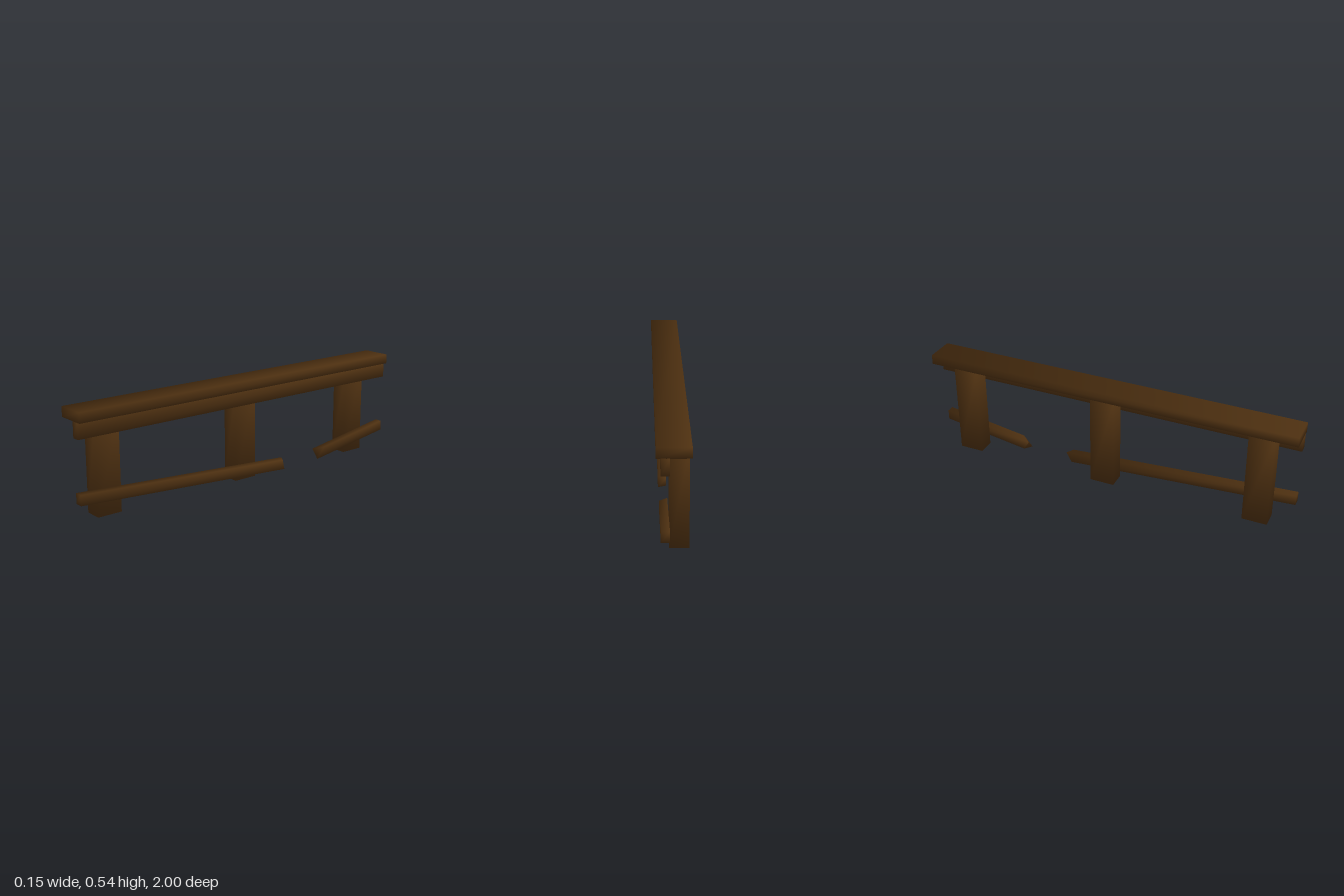
import * as THREE from 'three';

const wood = new THREE.MeshStandardMaterial({ color: 0x4f3111, side: THREE.DoubleSide });
wood.name = 'darkWood';

// Faces in box order: +x, -x, +y, -y, +z, -z
const OPEN_ENDS = [0, 1, 4, 5];
const OPEN_BOTTOM = [0, 1, 2, 4, 5];
const OPEN_TOP = [0, 1, 3, 4, 5];
const CLOSED = [0, 1, 2, 3, 4, 5];

// Six-sided timber with softly blended corner normals; place(sx, sy, sz) positions each corner
function timber(name, faces, place) {
  const geo = new THREE.BoxGeometry(2, 2, 2);
  const pos = geo.attributes.position;
  const normal = geo.attributes.normal;
  const k = 1 / Math.sqrt(3);
  for (let i = 0; i < pos.count; i++) {
    const [x, y, z] = [pos.getX(i), pos.getY(i), pos.getZ(i)];
    normal.setXYZ(i, x * k, y * k, z * k);
    pos.setXYZ(i, ...place(x, y, z));
  }
  const all = Array.from(geo.index.array);
  geo.setIndex(faces.flatMap((f) => all.slice(f * 6, f * 6 + 6)));
  geo.clearGroups();
  const mesh = new THREE.Mesh(geo, wood);
  mesh.name = name;
  return mesh;
}

// Straight timber between two bounds
const block = (name, faces, lo, hi) =>
  timber(name, faces, (...s) => s.map((v, i) => (v > 0 ? hi[i] : lo[i])));

export function createModel() {
  const group = new THREE.Group();
  group.name = 'brokenFence';

  // Flat cap and the rail fixed under it
  group.add(block('capRail', OPEN_BOTTOM, [-0.077, 0.49, -1], [0.077, 0.541, 1]));
  group.add(block('upperRail', OPEN_TOP, [0.017, 0.41, -1], [0.057, 0.492, 1]));

  // Three hollow posts
  [0.823, -0.009, -0.801].forEach((z, i) => {
    group.add(block('post' + (i + 1), OPEN_ENDS, [-0.073, 0, z - 0.065], [0.017, 0.492, z + 0.065]));
  });

  // Long sagging board, splintered at its back end
  group.add(timber('longBrokenBoard', CLOSED, (x, y, z) => {
    const px = x > 0 ? 0.058 : 0.017;
    if (z > 0) return [px, y > 0 ? 0.148 : 0.095, 1];
    if (y > 0) return [px, 0.065, x > 0 ? -0.235 : -0.26];
    return [px, 0.012, x > 0 ? -0.247 : -0.23];
  }));

  // Short board, splintered at its front end
  group.add(timber('shortBrokenBoard', CLOSED, (x, y, z) => {
    const px = x > 0 ? 0.057 : 0.017;
    if (z < 0) return [px, y > 0 ? 0.148 : 0.095, -0.995];
    if (y > 0) return x > 0 ? [px, 0.077, -0.54] : [px, 0.068, -0.49];
    return x > 0 ? [px, 0.018, -0.49] : [px, 0.02, -0.52];
  }));

  return group;
}
